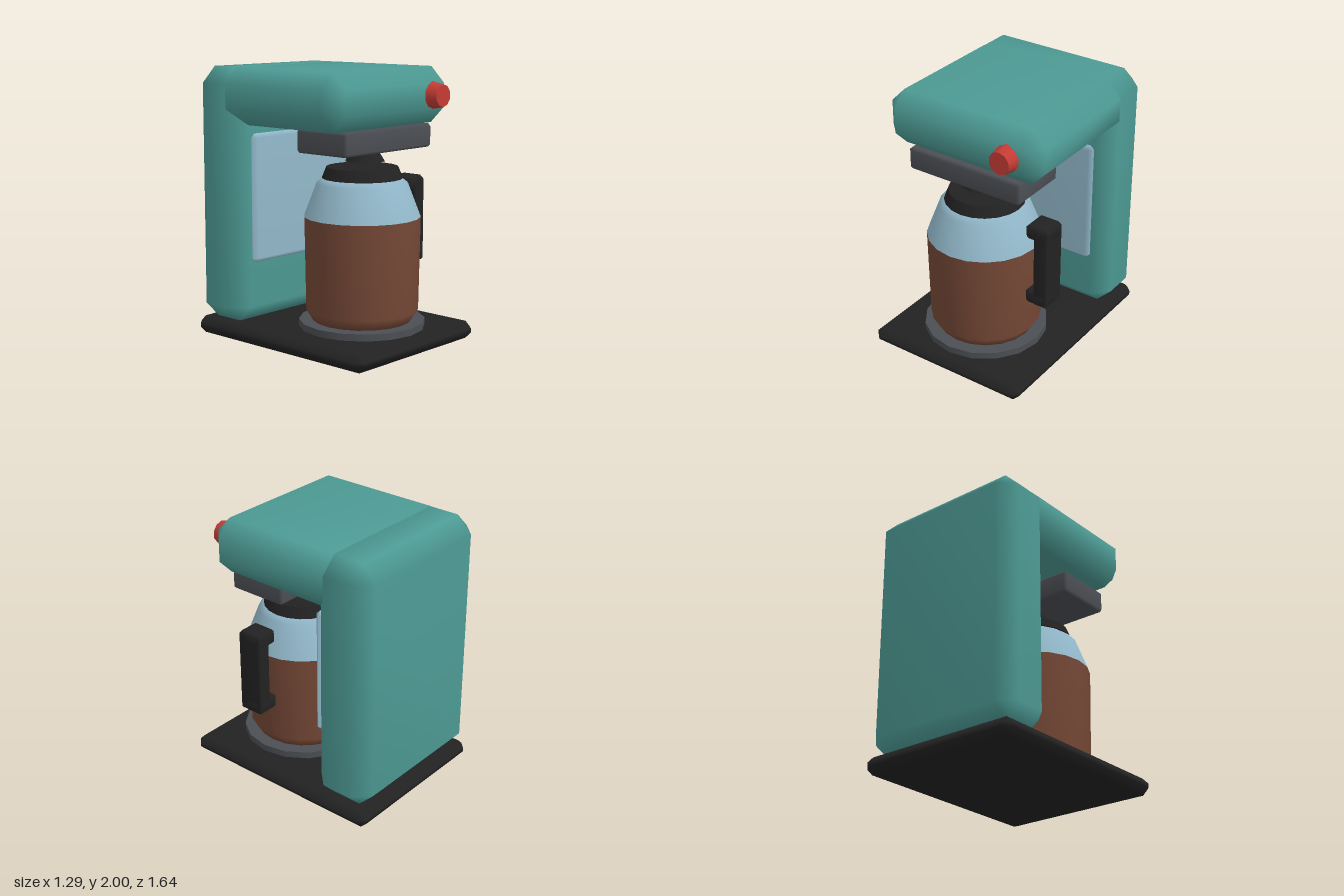
import * as THREE from 'three';
import { mergeVertices } from 'three/addons/utils/BufferGeometryUtils.js';
import { ConvexGeometry } from 'three/addons/geometries/ConvexGeometry.js';

const mat = (name, color) => new THREE.MeshStandardMaterial({ name, color });

// Box with single-cut bevels on every edge and smooth normals
function chamferBox(w, h, d, c) {
  const half = [w / 2, h / 2, d / 2];
  const points = [];
  for (const sx of [-1, 1]) for (const sy of [-1, 1]) for (const sz of [-1, 1]) {
    for (let axis = 0; axis < 3; axis++) {
      const [x, y, z] = half.map((v, i) => (i === axis ? v : v - c));
      points.push(new THREE.Vector3(sx * x, sy * y, sz * z));
    }
  }
  let geo = new ConvexGeometry(points);
  geo.deleteAttribute('normal');
  geo = mergeVertices(geo, 1e-4);
  geo.computeVertexNormals();
  return geo;
}

export function createModel() {
  const teal = mat('teal enamel', 0x4d9a94);
  const black = mat('black plastic', 0x222222);
  const grey = mat('dark grey metal', 0x4b4e53);
  const blue = mat('pale blue glass', 0x92b8ca);
  const brown = mat('coffee brown', 0x754836);
  const red = mat('red knob', 0xc43c35);

  const model = new THREE.Group();
  model.name = 'coffeeMaker';

  function add(name, geo, material, x = 0, y = 0, z = 0, parent = model) {
    const mesh = new THREE.Mesh(geo, material);
    mesh.name = name;
    mesh.position.set(x, y, z);
    parent.add(mesh);
    return mesh;
  }
  // Bevelled box given by its extents on each axis
  function block(name, material, [x0, x1], [y0, y1], [z0, z1], c, parent = model) {
    return add(name, chamferBox(x1 - x0, y1 - y0, z1 - z0, c), material,
      (x0 + x1) / 2, (y0 + y1) / 2, (z0 + z1) / 2, parent);
  }
  const lathe = (pts, n) =>
    new THREE.LatheGeometry(pts.map(p => new THREE.Vector2(...p)), n);

  // Housing
  block('base', black, [-0.645, 0.645], [0, 0.13], [-0.82, 0.82], 0.05);
  block('column', teal, [-0.645, 0.645], [0.13, 2], [-0.82, -0.35], 0.118);
  block('head', teal, [-0.645, 0.645], [1.59, 2], [-0.58, 0.585], 0.115);
  block('waterWindow', blue, [-0.53, 0.53], [0.59, 1.53], [-0.355, -0.29], 0.03);

  // Brewing unit and control
  block('filterHousing', grey, [-0.47, 0.47], [1.42, 1.59], [0.06, 0.53], 0.02);
  add('nozzle', new THREE.CylinderGeometry(0.095, 0.145, 0.08, 12), black, 0, 1.38, 0.295);
  const knob = add('knob', new THREE.CylinderGeometry(0.082, 0.1, 0.1, 10), red, 0.41, 1.8, 0.625);
  knob.rotation.x = Math.PI / 2;

  // Hot plate and carafe share one axis
  const jugZ = 0.27;
  add('hotPlate', new THREE.CylinderGeometry(0.46, 0.46, 0.06, 16), grey, 0, 0.15, jugZ);
  const carafe = new THREE.Group();
  carafe.name = 'carafe';
  carafe.position.z = jugZ;
  model.add(carafe);

  add('coffee', lathe([[0, 0.18], [0.36, 0.18], [0.41, 0.26], [0.422, 0.94]], 20), brown, 0, 0, 0, carafe);
  add('glass', lathe([[0.422, 0.94], [0.33, 1.18], [0.27, 1.225], [0, 1.225]], 20), blue, 0, 0, 0, carafe);
  add('lid', new THREE.CylinderGeometry(0.26, 0.292, 0.08, 20), black, 0, 1.257, 0, carafe);

  // Handle on the carafe's left side
  block('handleGrip', black, [0.48, 0.595], [0.54, 1.17], [-0.1, 0.1], 0.015, carafe);
  for (const y of [0.535, 1.07]) {
    block('handleArm', black, [0.41, 0.595], [y, y + 0.115], [-0.1, 0.1], 0.025, carafe);
  }

  return model;
}
